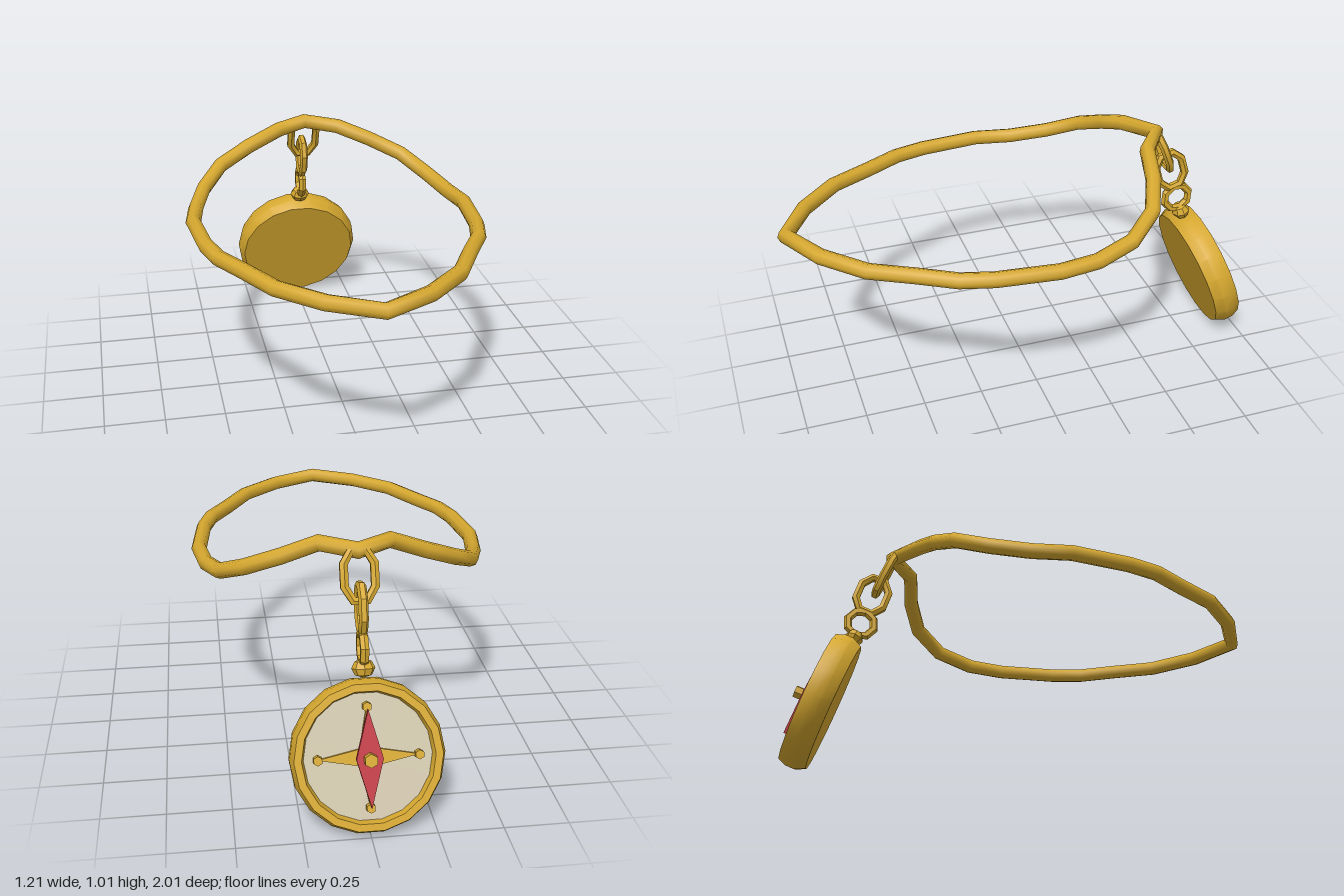
import * as THREE from 'three';
import { toCreasedNormals } from 'three/addons/utils/BufferGeometryUtils.js';

const material = (name, color) => Object.assign(new THREE.MeshStandardMaterial({ color }), { name });

// Closed path of straight pieces whose samples fall exactly on its corners
class ClosedPolyline extends THREE.Curve {
  constructor(points) {
    super();
    this.points = points;
  }
  getPoint(t, target = new THREE.Vector3()) {
    const n = this.points.length;
    const s = (((t % 1) + 1) % 1) * n + 1e-9;
    const i = Math.floor(s) % n;
    return target.lerpVectors(this.points[i], this.points[(i + 1) % n], s - Math.floor(s));
  }
  getTangent(t, target = new THREE.Vector3()) {
    return target.copy(this.getPoint(t + 1e-3)).sub(this.getPoint(t - 1e-3)).normalize();
  }
  getPointAt(u, target) { return this.getPoint(u, target); }
  getTangentAt(u, target) { return this.getTangent(u, target); }
}

const closedTube = (points, radius, sides) =>
  new THREE.TubeGeometry(new ClosedPolyline(points), points.length, radius, sides, true);

// Elongated eight-cornered chain link in the xy plane
function linkGeometry(w, l) {
  const quarter = [[w, l * 0.45], [w * 0.45, l]];
  const outline = [
    ...quarter,
    ...quarter.map(([x, y]) => [-x, y]).reverse(),
    ...quarter.map(([x, y]) => [-x, -y]),
    ...quarter.map(([x, y]) => [x, -y]).reverse(),
  ].map(([x, y]) => new THREE.Vector3(x, y, 0));
  return toCreasedNormals(closedTube(outline, 0.018, 6), 0.6);
}

// Flat polygon with thickness, starting at z = 0 and growing towards -z
function plate(points, depth) {
  const shape = new THREE.Shape(points.map(([x, y]) => new THREE.Vector2(x, y)));
  return new THREE.ExtrudeGeometry(shape, { depth, bevelEnabled: false }).translate(0, 0, -depth);
}

export function createModel() {
  const gold = material('gold', 0xd6a82f);
  const ivory = material('ivory dial', 0xd2c8ae);
  const red = material('red needle', 0xc23a45);
  const model = new THREE.Group();
  model.name = 'compassNecklace';

  const add = (parent, name, geometry, mat, x = 0, y = 0, z = 0) => {
    const mesh = new THREE.Mesh(geometry, mat);
    mesh.name = name;
    mesh.position.set(x, y, z);
    parent.add(mesh);
    return mesh;
  };

  // Neck band: one half from front tip to back, then mirrored
  const half = [
    [0, 0.78, 0.965], [0.19, 0.78, 0.86], [0.345, 0.78, 0.71], [0.435, 0.78, 0.54],
    [0.515, 0.78, 0.4], [0.55, 0.78, 0.27], [0.575, 0.78, 0.02], [0.55, 0.778, -0.14],
    [0.5, 0.805, -0.3], [0.41, 0.865, -0.42], [0.275, 0.925, -0.48],
    [0.135, 0.983, -0.51], [0, 0.985, -0.61],
  ];
  const band = [...half, ...half.slice(1, -1).reverse().map(([x, y, z]) => [-x, y, z])]
    .map((p) => new THREE.Vector3(...p));
  add(model, 'neckBand', closedTube(band, 0.032, 8), gold);

  // Hanging chain
  add(model, 'upperLink', linkGeometry(0.057, 0.095), gold, 0, 0.9, -0.64).rotation.x = 0.38;
  const lower = add(model, 'lowerLink', linkGeometry(0.06, 0.083).rotateY(Math.PI / 2), gold, 0, 0.79, -0.69);
  lower.rotation.x = 0.3;
  const ring = new THREE.TorusGeometry(0.058, 0.018, 6, 8).rotateY(Math.PI / 2);
  add(model, 'hangingRing', toCreasedNormals(ring, 0.6), gold, 0, 0.65, -0.73).rotation.x = 0.34;
  const bead = new THREE.SphereGeometry(0.045, 8, 4).scale(1, 0.8, 0.88);
  add(model, 'bead', toCreasedNormals(bead, 0.5), gold, 0, 0.578, -0.755).rotation.x = 0.34;

  // Tilted compass, its dial facing local -z
  const compass = new THREE.Group();
  compass.name = 'compass';
  compass.position.set(0, 0.257, -0.815);
  compass.rotation.x = 0.34;
  model.add(compass);

  // Case with rounded side and raised rim
  const profile = [
    [0, 0], [0.27, 0], [0.29, 0.04], [0.29, 0.075], [0.276, 0.112], [0.248, 0.112], [0.238, 0.08],
  ].map(([r, d]) => new THREE.Vector2(r, d));
  const caseGeometry = new THREE.LatheGeometry(profile, 18, Math.PI / 2).rotateX(-Math.PI / 2);
  add(compass, 'case', toCreasedNormals(caseGeometry, 0.5), gold);
  add(compass, 'dial', new THREE.CircleGeometry(0.241, 18).rotateY(Math.PI), ivory, 0, 0, -0.084);

  // Four-pointed star with a stud at each tip
  const star = [];
  for (let i = 0; i < 8; i++) {
    const r = i % 2 ? 0.045 : 0.19;
    star.push([r * Math.cos(i * Math.PI / 4), r * Math.sin(i * Math.PI / 4)]);
  }
  add(compass, 'star', plate(star, 0.012), gold, 0, 0, -0.085);
  const stud = (radius, height) =>
    toCreasedNormals(new THREE.CylinderGeometry(radius, radius, height, 6).rotateX(Math.PI / 2), 0.5);
  for (let i = 0; i < 4; i++) {
    const a = i * Math.PI / 2;
    add(compass, 'starStud', stud(0.018, 0.028), gold, 0.188 * Math.cos(a), 0.188 * Math.sin(a), -0.098);
  }

  // Needle and its pivot
  const diamond = [[0.05, 0], [0, 0.183], [-0.05, 0], [0, -0.183]];
  add(compass, 'needle', plate(diamond, 0.02), red, 0, 0, -0.115);
  add(compass, 'pivot', stud(0.026, 0.085), gold, 0, 0, -0.125);

  return model;
}
